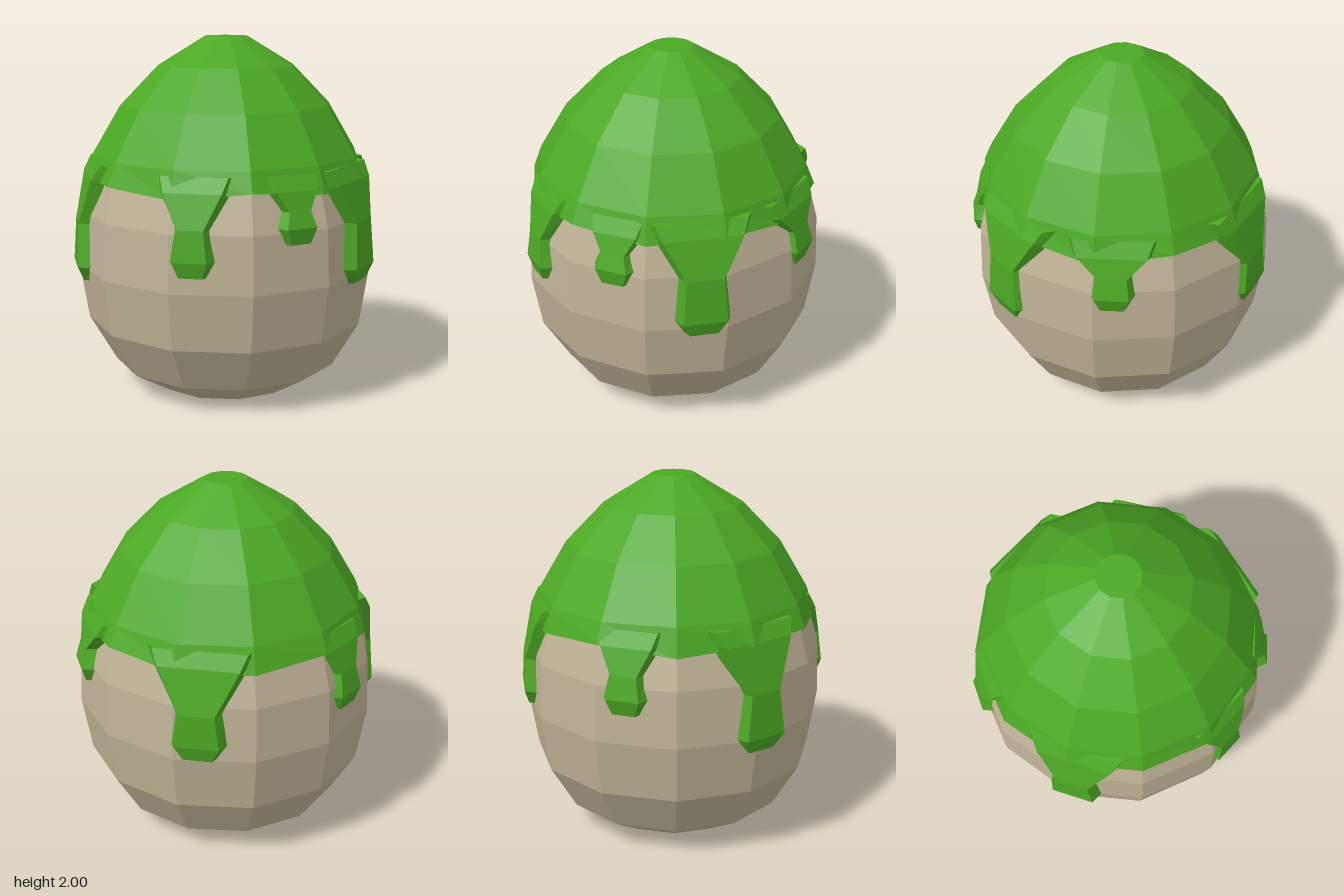
import * as THREE from 'three';

const SIDES = 12;
const rad = THREE.MathUtils.degToRad;

// radius of the egg (at its corners) by height
const eggProfile = [[0, 0], [0.42, 0], [0.65, 0.14], [0.8, 0.4], [0.85, 0.72], [0.835, 1.03], [0.775, 1.24], [0, 1.3]];
// slime cap: underside lip, rim, then up to the flat crown
const capProfile = [[0.75, 1.23], [0.808, 1.22], [0.76, 1.35], [0.6, 1.62], [0.385, 1.84], [0.12, 2], [0, 2]];

// twelve-sided faceted shell with faces turned square to the front
function shell(profile) {
  const pts = profile.map(([r, y]) => new THREE.Vector2(r, y));
  return new THREE.LatheGeometry(pts, SIDES, rad(15));
}

// egg corner radius at height y
function eggRadius(y) {
  for (let i = 1; i < eggProfile.length - 1; i++) {
    const [r0, y0] = eggProfile[i], [r1, y1] = eggProfile[i + 1];
    if (y <= y1) return r0 + (r1 - r0) * (y - y0) / (y1 - y0);
  }
  return 0;
}

// a flat-fronted drip with bevelled edges: wide funnel, narrow neck, fat blunt tip
function dripGeometry(funnel, neck, tip, yNeck, yTip) {
  const hug = (y) => eggRadius(y) * 0.97;
  // rows: height, half width, inner and outer distance from the axis
  const rows = [
    [1.32, funnel, 0.68, 0.75],
    [1.24, funnel * 0.88, 0.72, 0.795],
    [yNeck, neck, hug(yNeck) - 0.03, hug(yNeck) + 0.045],
    [yTip + 0.085, tip, hug(yTip + 0.085) - 0.03, hug(yTip + 0.085) + 0.048],
    [yTip, tip * 0.68, hug(yTip) - 0.03, hug(yTip) + 0.022],
  ];
  const pos = [], index = [];
  for (const [y, w, inner, outer] of rows) {
    const bevel = Math.min(0.04, w * 0.3);
    pos.push(-w, y, inner, -w + bevel, y, outer, w - bevel, y, outer, w, y, inner);
  }
  for (let i = 0; i < rows.length - 1; i++) {
    for (let k = 0; k < 4; k++) {
      const a = i * 4 + k, b = i * 4 + (k + 1) % 4;
      index.push(a, a + 4, b, b, a + 4, b + 4);
    }
  }
  const e = (rows.length - 1) * 4;
  index.push(0, 1, 2, 0, 2, 3, e, e + 2, e + 1, e, e + 3, e + 2);
  const g = new THREE.BufferGeometry();
  g.setAttribute('position', new THREE.Float32BufferAttribute(pos, 3));
  g.setIndex(index);
  g.computeVertexNormals();
  return g;
}

export function createModel() {
  const group = new THREE.Group();
  const stone = new THREE.MeshStandardMaterial({ color: 0xc0b497, flatShading: true });
  stone.name = 'stone shell';
  const slime = new THREE.MeshStandardMaterial({ color: 0x4ca824, flatShading: true });
  slime.name = 'green slime';

  const add = (name, geometry, material) => {
    const mesh = new THREE.Mesh(geometry, material);
    mesh.name = name;
    group.add(mesh);
    return mesh;
  };

  add('eggShell', shell(eggProfile), stone);

  // cap with a slightly uneven rim
  const cap = shell(capProfile);
  const p = cap.attributes.position;
  for (let i = 0; i <= SIDES; i++) {
    for (let j = 0; j < 2; j++) {
      const v = i * capProfile.length + j;
      p.setY(v, p.getY(v) + 0.022 * Math.sin((i % SIDES) * 2.4 + 2.5));
    }
  }
  cap.computeVertexNormals();
  add('slimeCap', cap, slime);

  // drips: angle, funnel, neck and tip half widths, neck and tip heights
  const drips = [
    [6.5, 0.285, 0.14, 0.16, 1.03, 0.69],
    [52, 0.25, 0.11, 0.13, 1.13, 0.93],
    [114, 0.29, 0.135, 0.16, 1.0, 0.73],
    [176, 0.2, 0.1, 0.13, 1.1, 0.89],
    [228, 0.28, 0.13, 0.16, 0.98, 0.65],
    [293, 0.22, 0.1, 0.13, 1.06, 0.81],
    [333, 0.18, 0.09, 0.125, 1.14, 0.97],
  ];
  drips.forEach(([angle, ...shape], i) => {
    add('slimeDrip' + (i + 1), dripGeometry(...shape), slime).rotation.y = rad(angle);
  });

  return group;
}
